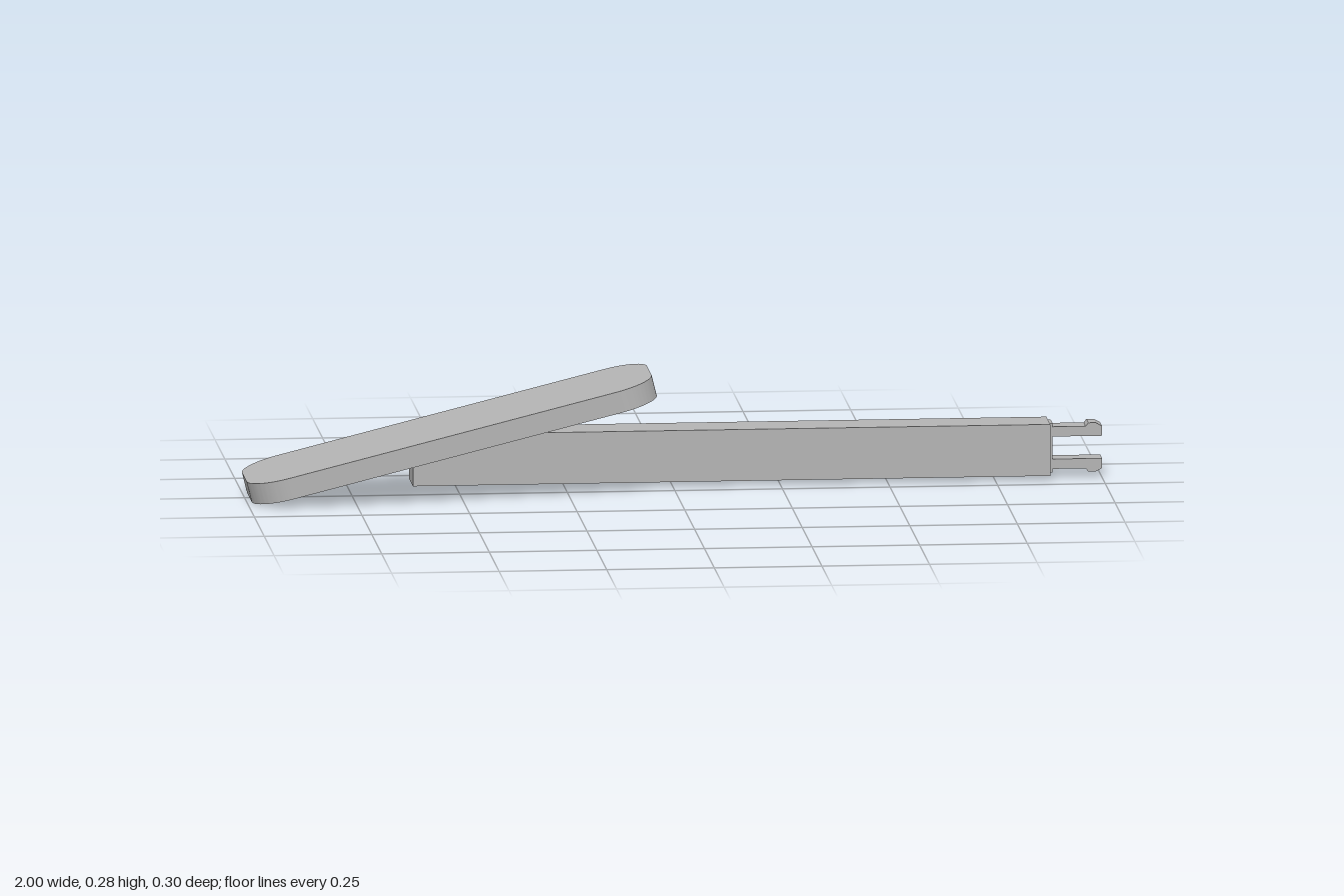
import * as THREE from 'three';
import { toCreasedNormals } from 'three/addons/utils/BufferGeometryUtils.js';

export function createModel() {
  const model = new THREE.Group();
  const grey = new THREE.MeshStandardMaterial({ color: 0xb4b4b4 });
  grey.name = 'grey';

  const add = (name, geometry, x, y, z) => {
    const mesh = new THREE.Mesh(geometry, grey);
    mesh.name = name;
    mesh.position.set(x, y, z);
    model.add(mesh);
    return mesh;
  };

  // Tilted paddle with rounded corners
  const a = 0.485, b = 0.151, r = 0.095, thickness = 0.05;
  const outline = new THREE.Shape();
  outline.absarc(a - r, b - r, r, 0, Math.PI / 2);
  outline.absarc(r - a, b - r, r, Math.PI / 2, Math.PI);
  outline.absarc(r - a, r - b, r, Math.PI, Math.PI * 1.5);
  outline.absarc(a - r, r - b, r, Math.PI * 1.5, Math.PI * 2);
  outline.closePath();
  const plate = new THREE.ExtrudeGeometry(outline, { depth: thickness, bevelEnabled: false, curveSegments: 12 });
  plate.translate(0, 0, -thickness / 2);
  plate.rotateX(-Math.PI / 2);
  add('paddle', toCreasedNormals(plate, 0.6), -0.524, 0.143, 0).rotation.z = Math.atan(0.25);

  // Long square arm along the back edge
  const armY = 0.0725, armZ = -0.101;
  add('arm', new THREE.BoxGeometry(1.481, 0.121, 0.1), 0.1365, armY, armZ);

  // Clip on the end: thin base and two mirrored hooked prongs
  const clipZ = -0.105, width = 0.05;
  add('clipBase', new THREE.BoxGeometry(0.012, 0.115, width), 0.879, armY, clipZ);
  for (const side of [1, -1]) {
    const profile = [
      [0.875, 0.0265], [1, 0.0265], [1, 0.0495], [0.985, 0.0575], [0.968, 0.0575], [0.962, 0.0495], [0.875, 0.0495],
    ].map(([x, y]) => new THREE.Vector2(x, y * side));
    const prong = new THREE.ExtrudeGeometry(new THREE.Shape(profile), { depth: width, bevelEnabled: false });
    add(side > 0 ? 'upperProng' : 'lowerProng', prong, 0, armY, clipZ - width / 2);
  }
  return model;
}
